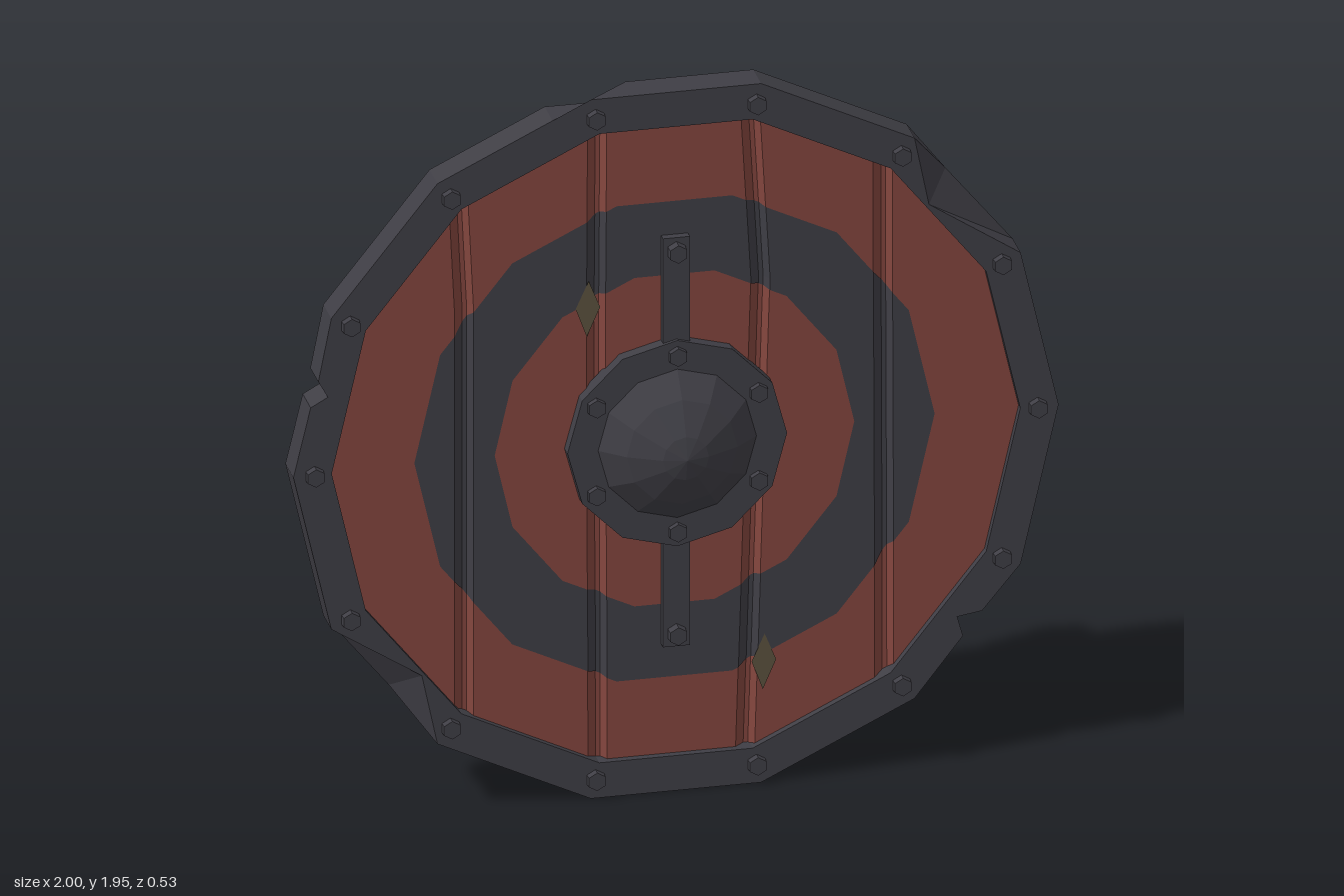
import * as THREE from 'three';

const CY = 0.977, SIDES = 14, STEP = Math.PI * 2 / SIDES;
const mat = (name, color) => new THREE.MeshStandardMaterial({ name, color, flatShading: true });

// Point of a regular 14-gon centred on the shield
const corner = (r, i) => [r * Math.cos(i * STEP), r * Math.sin(i * STEP)];
// Radius of that 14-gon in the direction of (x, y)
function polyRadius(r, x, y) {
  const a = ((Math.atan2(y, x) % STEP) + STEP) % STEP;
  return r * Math.cos(STEP / 2) / Math.cos(a - STEP / 2);
}

// Flat-faced geometry from convex polygons
function facets(polys) {
  const pos = [];
  for (const p of polys)
    for (let i = 1; i < p.length - 1; i++) pos.push(...p[0], ...p[i], ...p[i + 1]);
  const g = new THREE.BufferGeometry();
  g.setAttribute('position', new THREE.Float32BufferAttribute(pos, 3));
  g.computeVertexNormals();
  return g;
}

// Cut a convex polygon [x,y,z] by a counter-clockwise convex outline [x,y]
function clip(poly, outline) {
  outline.forEach((a, k) => {
    const b = outline[(k + 1) % outline.length], out = [];
    const side = p => (b[0] - a[0]) * (p[1] - a[1]) - (b[1] - a[1]) * (p[0] - a[0]);
    poly.forEach((p, i) => {
      const q = poly[(i + 1) % poly.length], sp = side(p), sq = side(q);
      if (sp >= 0) out.push(p);
      if (sp * sq < 0) out.push(p.map((v, j) => v + (q[j] - v) * sp / (sp - sq)));
    });
    poly = out;
  });
  return poly;
}

// Plank face cells: columns split by V grooves, with a kink at one height
function plankCells() {
  const rows = [-1.05, 0.42, 1.05];
  const grooves = [[-0.55, -0.55, -0.58], [-0.2, -0.205, -0.2], [0.18, 0.225, 0.19], [0.55, 0.545, 0.545]];
  const cols = [{ x: [-1.1, -1.1, -1.1], z: 0 }];
  for (const g of grooves)
    for (const [dx, z] of [[-0.025, 0], [0, -0.022], [0.012, -0.022], [0.025, 0]])
      cols.push({ x: g.map(v => v + dx), z });
  cols.push({ x: [1.1, 1.1, 1.1], z: 0 });
  const cells = [];
  for (let r = 0; r < 2; r++)
    for (let c = 0; c < cols.length - 1; c++) {
      const at = (k, j) => [cols[k].x[j], rows[j], cols[k].z];
      cells.push([at(c, r), at(c + 1, r), at(c + 1, r + 1), at(c, r + 1)]);
    }
  return cells;
}

// Loft through rings of points, either joined end to end or capped
function loft(rings, closed) {
  const polys = [], n = rings[0].length, m = rings.length;
  for (let i = 0; i < (closed ? m : m - 1); i++)
    for (let j = 0; j < n; j++) {
      const a = rings[i], b = rings[(i + 1) % m], k = (j + 1) % n;
      polys.push([a[j], b[j], b[k], a[k]]);
    }
  if (!closed) polys.push(rings[0], [...rings[m - 1]].reverse());
  return facets(polys);
}

export function createModel() {
  const model = new THREE.Group();
  const iron = mat('dark iron', 0x3f3e45), red = mat('red paint', 0x84463e);
  const wood = mat('brown wood', 0x6b5843), moss = mat('worn olive', 0x5c523f);
  const add = (name, geo, m, parent = model, x = 0, y = 0, z = 0) => {
    const mesh = new THREE.Mesh(geo, m);
    mesh.name = name;
    mesh.position.set(x, y, z);
    parent.add(mesh);
    return mesh;
  };

  // Planks, front and back, and the painted ring
  const cells = plankCells();
  const disc = Array.from({ length: SIDES }, (_, i) => corner(0.91, i));
  const face = cells.map(c => clip(c, disc)).filter(p => p.length > 2);
  add('frontPlanks', facets(face), red, model, 0, CY, 0.12);
  const back = face.map(p => p.map(([x, y, z]) => [-x, -y, -z]).reverse());
  add('backPlanks', facets(back), wood, model, 0, CY, 0.066);
  const ring = [];
  for (let i = 0; i < SIDES; i++) {
    const sector = [corner(0.47, i), corner(0.68, i), corner(0.68, i + 1), corner(0.47, i + 1)];
    for (const c of cells) ring.push(clip(c, sector));
  }
  add('paintedRing', facets(ring.filter(p => p.length > 2)), iron, model, 0, CY, 0.123);

  // Worn diamond patches
  for (const [x, y] of [[-0.225, 1.365], [0.235, 0.335]]) {
    const s = new THREE.Shape([[-0.034, 0], [-0.005, -0.08], [0.03, 0], [0, 0.075]].map(p => new THREE.Vector2(...p)));
    add('wornPatch', new THREE.ShapeGeometry(s), moss, model, x, y, 0.126);
  }

  // Rim: regular corners plus nicks and bevelled chips [x, y, front scale, back scale]
  const rimPoints = [];
  const chippedBack = [0, 4, 11];
  for (let i = 0; i < SIDES; i++) {
    const p = corner(1, i), chipped = chippedBack.includes(i);
    rimPoints.push([...p, 1, chipped ? 0.95 : 1]);
    if (chipped)
      for (const d of [-1, 1]) {
        const q = corner(1, i + d);
        rimPoints.push([p[0] + (q[0] - p[0]) * 0.25, p[1] + (q[1] - p[1]) * 0.25, 1, 1]);
      }
  }
  rimPoints.push(
    [-0.935, 0.26, 1, 1], [-0.91, 0.215, 1, 1], [-0.955, 0.19, 1, 1],
    [0.8, -0.555, 1, 1], [0.735, -0.565, 1, 1], [0.75, -0.62, 1, 1],
    [0.725, 0.65, 0.912, 1], [-0.73, -0.645, 0.91, 1]);
  rimPoints.sort((a, b) => Math.atan2(a[1], a[0]) - Math.atan2(b[1], b[0]));
  const rim = rimPoints.map(([x, y, f, b]) => {
    const k = polyRadius(0.9, x, y) / Math.hypot(x, y);
    return [[x * f, y * f, 0.14], [x * k, y * k, 0.14], [x * k, y * k, 0.05], [x * b, y * b, 0.05]];
  });
  add('rim', loft(rim, true), iron, model, 0, CY, 0);

  // Strap, collar and domed boss
  add('strap', new THREE.BoxGeometry(0.07, 1.14, 0.03), iron, model, 0, CY, 0.13);
  const collar = new THREE.CylinderGeometry(0.287, 0.287, 0.045, 12).rotateX(Math.PI / 2);
  add('collar', collar, iron, model, 0, CY, 0.132);
  const dome = new THREE.LatheGeometry(
    [[0.212, 0.15], [0.145, 0.21], [0.06, 0.253], [0, 0.268]].map(p => new THREE.Vector2(...p)), 12);
  add('boss', dome.rotateX(Math.PI / 2), iron, model, 0, CY, 0);

  // Rivets on rim, collar and strap
  const rivetGeo = new THREE.CylinderGeometry(0.025, 0.027, 0.04, 6).rotateX(Math.PI / 2);
  const rivet = (x, y, top) => add('rivet', rivetGeo, iron, model, x, CY + y, top - 0.02);
  for (let i = 0; i < SIDES; i++) rivet(...corner(0.945, i), 0.16);
  for (let i = 0; i < 6; i++) {
    const a = Math.PI / 2 + i * Math.PI / 3;
    rivet(0.245 * Math.cos(a), 0.245 * Math.sin(a), 0.17);
  }
  for (const s of [-1, 1]) rivet(0, s * 0.533, 0.17);

  // Handles: mounts, bent arms and a wrapped grip
  // Arm sections: upper point, lower point [y, z], half width
  const arm = [
    [[0.205, 0.005], [0.17, 0.005], 0.032], [[0.215, -0.16], [0.18, -0.15], 0.045],
    [[0.165, -0.25], [0.14, -0.195], 0.045], [[0, -0.245], [0, -0.19], 0.038]];
  const armGeo = loft(arm.map(([[y0, z0], [y1, z1], w]) =>
    [[-w, y1, z1], [w, y1, z1], [w, y0, z0], [-w, y0, z0]]), false);
  for (const x of [-0.315, 0.315]) {
    const handle = new THREE.Group();
    handle.name = x > 0 ? 'leftHandle' : 'rightHandle';
    handle.position.set(x, CY, 0);
    for (const turn of [0, Math.PI]) {
      const half = new THREE.Group();
      half.name = turn ? 'lowerArm' : 'upperArm';
      half.rotation.z = turn;
      add('mount', new THREE.BoxGeometry(0.085, 0.115, 0.068), iron, half, 0, 0.185, 0.034);
      add('arm', armGeo, iron, half);
      handle.add(half);
    }
    add('gripCore', new THREE.BoxGeometry(0.084, 0.27, 0.066), wood, handle, 0, 0, -0.216);
    for (let i = 0; i < 4; i++) {
      const wrap = add('gripWrap', new THREE.BoxGeometry(0.106, 0.048, 0.1), wood, handle, 0, 0.12 - i * 0.08, -0.215);
      wrap.rotation.z = i % 2 ? 0.1 : -0.1;
    }
    model.add(handle);
  }
  return model;
}
